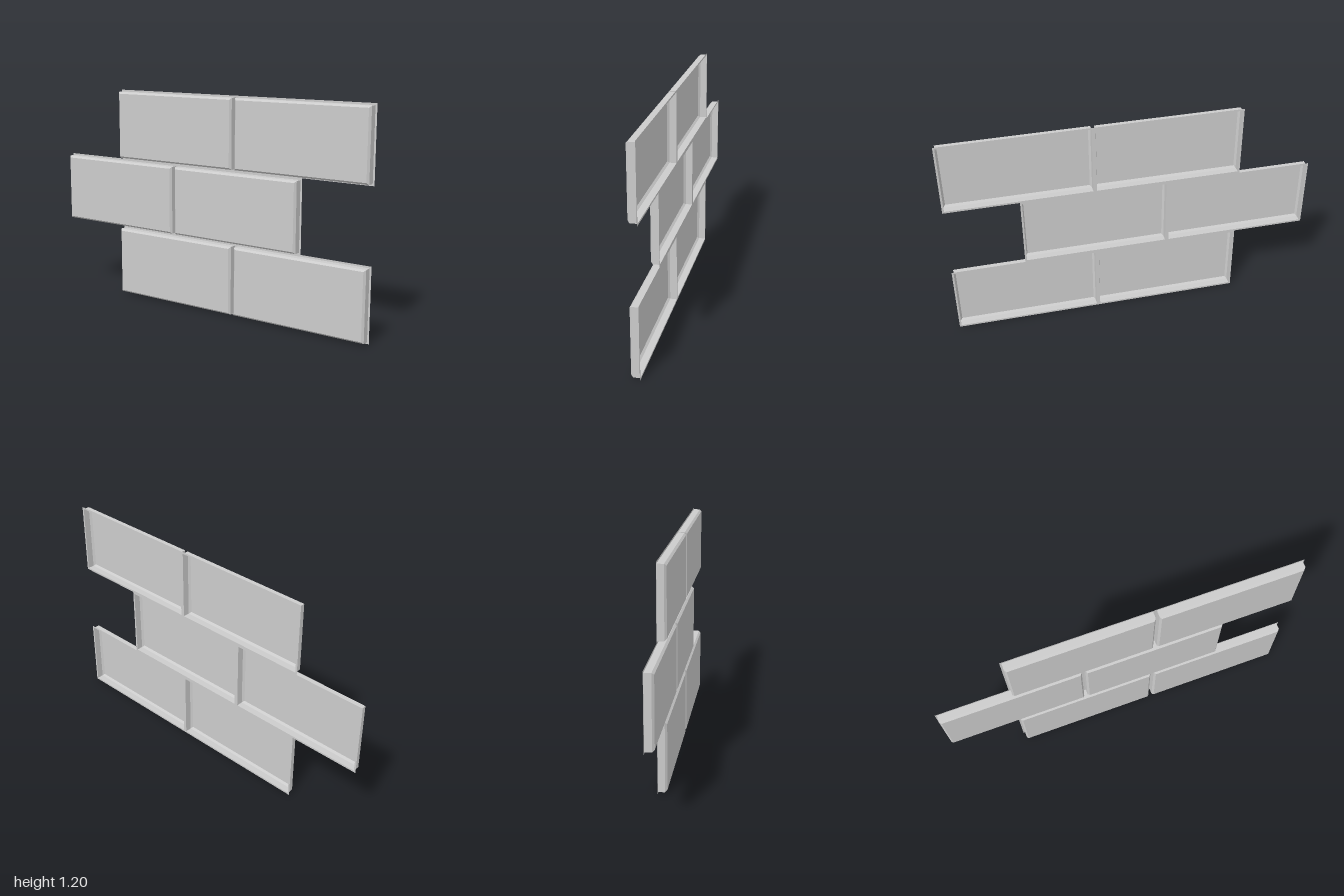
import * as THREE from 'three';

const CELL_W = 0.8, CELL_H = 0.4;

// Hollow brick panel: nested rectangles (inset from the cell edge, z), open at the back
function brickGeometry() {
  const loops = [
    [0, -0.024],     // outer edge of the mortar flange
    [0.01, -0.024],  // foot of the side walls
    [0.01, 0.013],   // top of the side walls
    [0.02, 0.024],   // bevelled front edge
  ].map(([inset, z]) => {
    const x = CELL_W / 2 - inset, y = CELL_H / 2 - inset;
    return [[-x, -y, z], [x, -y, z], [x, y, z], [-x, y, z]];
  });
  const positions = [];
  const quad = (a, b, c, d) => positions.push(...a, ...b, ...c, ...a, ...c, ...d);
  for (let i = 0; i < loops.length - 1; i++) {
    for (let k = 0; k < 4; k++) {
      const n = (k + 1) % 4;
      quad(loops[i][k], loops[i][n], loops[i + 1][n], loops[i + 1][k]);
    }
  }
  quad(...loops[loops.length - 1]); // front face
  const geometry = new THREE.BufferGeometry();
  geometry.setAttribute('position', new THREE.Float32BufferAttribute(positions, 3));
  geometry.computeVertexNormals();
  return geometry;
}

export function createModel() {
  const group = new THREE.Group();
  group.name = 'brickWall';
  const material = new THREE.MeshStandardMaterial({
    color: 0xcccccc, flatShading: true, side: THREE.DoubleSide,
  });
  const geometry = brickGeometry();

  // Three courses of two bricks, the middle one shifted by half a brick
  for (let row = 0; row < 3; row++) {
    const course = new THREE.Group();
    course.name = `course${row + 1}`;
    course.position.set(row === 1 ? -0.2 : 0.2, (row + 0.5) * CELL_H, 0);
    for (const side of [-1, 1]) {
      const brick = new THREE.Mesh(geometry, material);
      brick.name = side < 0 ? 'rightBrick' : 'leftBrick';
      brick.position.x = side * CELL_W / 2;
      course.add(brick);
    }
    group.add(course);
  }
  return group;
}
